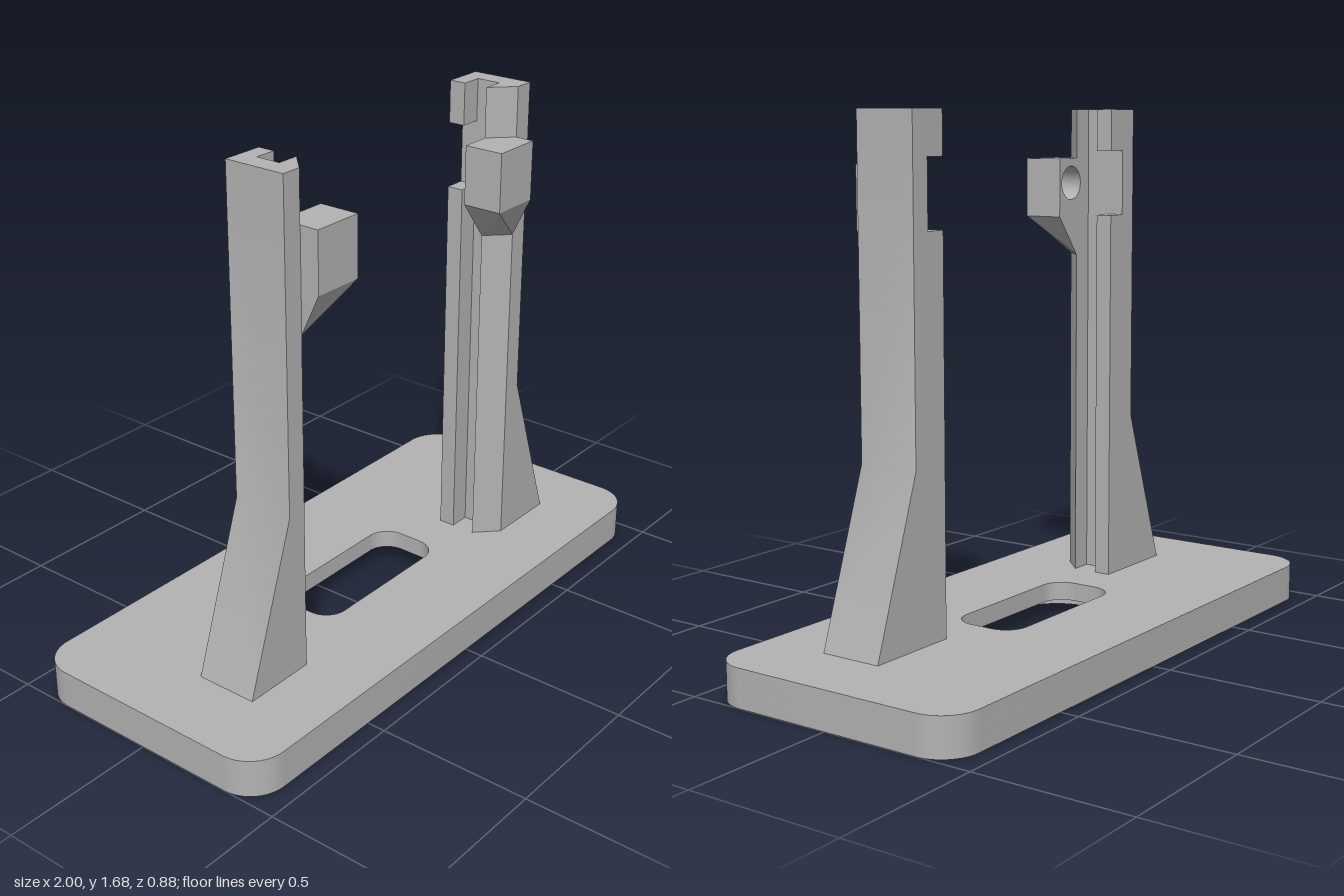
import * as THREE from 'three';
import { toCreasedNormals } from 'three/addons/utils/BufferGeometryUtils.js';
import { ConvexGeometry } from 'three/addons/geometries/ConvexGeometry.js';

const grey = new THREE.MeshStandardMaterial({ color: 0xb3b3b3 });
grey.name = 'plain grey';

const BASE_TOP = 0.12, POST_TOP = 1.68;
const CLIP_LOW = 1.2, CLIP_MID = 1.33, CLIP_TOP = 1.52;
const X_TIP = 0.345, X_ARM = 0.445, X_WALL = 0.515, X_OUT = 0.58, X_FOOT = 0.76;
const Z_BACK = 0.01, Z_SLOT = 0.065, Z_ARM = 0.145, Z_FRONT = 0.215, Z_CLIP = 0.277;

function polygon(points) {
  return new THREE.Shape(points.map(([x, y]) => new THREE.Vector2(x, y)));
}

function roundedRect(w, h, r) {
  const s = new THREE.Shape(), x = w / 2 - r, y = h / 2 - r;
  s.absarc(x, y, r, 0, Math.PI / 2);
  s.absarc(-x, y, r, Math.PI / 2, Math.PI);
  s.absarc(-x, -y, r, Math.PI, Math.PI * 1.5);
  s.absarc(x, -y, r, Math.PI * 1.5, Math.PI * 2);
  s.closePath();
  return s;
}

// Extrude an x-y shape from z0 to z1
function alongZ(shape, z0, z1) {
  const g = new THREE.ExtrudeGeometry(shape, { depth: z1 - z0, bevelEnabled: false, curveSegments: 10 });
  return toCreasedNormals(g.translate(0, 0, z0), 0.5);
}

// Extrude a plan shape (x, -z) from y0 to y1
function alongY(shape, y0, y1) {
  const g = new THREE.ExtrudeGeometry(shape, { depth: y1 - y0, bevelEnabled: false, curveSegments: 10 });
  return toCreasedNormals(g.rotateX(-Math.PI / 2).translate(0, y0, 0), 0.5);
}

function block(x0, x1, y0, y1, z0, z1) {
  return new THREE.BoxGeometry(x1 - x0, y1 - y0, z1 - z0)
    .translate((x0 + x1) / 2, (y0 + y1) / 2, (z0 + z1) / 2);
}

// Mirror across x = 0 and restore the corner order
function mirrored(geometry) {
  const g = geometry.index ? geometry.toNonIndexed() : geometry.clone();
  for (const name of ['position', 'normal']) {
    const a = g.attributes[name];
    for (let i = 0; i < a.count; i += 3) {
      const p = [0, 2, 1].map(k => [-a.getX(i + k), a.getY(i + k), a.getZ(i + k)]);
      p.forEach((v, k) => a.setXYZ(i + k, ...v));
    }
  }
  return g;
}

function postParts() {
  // Post wall with its flared foot
  const wall = polygon([[X_WALL, BASE_TOP], [X_FOOT, BASE_TOP], [X_OUT, 0.65],
    [X_OUT, POST_TOP], [X_WALL, POST_TOP]]);

  // Front lip of the channel, chamfered
  const lip = polygon([[X_ARM, -Z_ARM], [X_WALL, -Z_FRONT], [X_WALL, -Z_ARM]]);

  // Clip body with a blind round hole in its back
  const holeX = 0.412, holeY = 1.44, holeR = 0.055, holeEnd = 0.245;
  const clip = polygon([[X_TIP, CLIP_MID], [X_WALL, CLIP_MID], [X_WALL, CLIP_TOP], [X_TIP, CLIP_TOP]]);
  const drilled = clip.clone();
  drilled.holes.push(new THREE.Path().absarc(holeX, holeY, holeR, 0, Math.PI * 2, true));

  // Tapered underside of the clip
  const taper = [[X_WALL, CLIP_LOW, Z_FRONT], [X_ARM, CLIP_LOW, Z_ARM], [X_WALL, CLIP_LOW, Z_ARM],
    [X_WALL, CLIP_MID, Z_CLIP], [X_TIP, CLIP_MID, Z_CLIP], [X_TIP, CLIP_MID, Z_ARM],
    [X_WALL, CLIP_MID, Z_ARM]].map(p => new THREE.Vector3(...p));

  return {
    postWall: alongZ(wall, Z_BACK, Z_FRONT),
    lowerBackLip: block(X_ARM, X_WALL, BASE_TOP, 1.335, Z_BACK, Z_SLOT),
    upperBackLip: block(X_ARM, X_WALL, 1.545, POST_TOP, Z_BACK, Z_SLOT),
    lowerFrontLip: alongY(lip, BASE_TOP, CLIP_LOW),
    upperFrontLip: alongY(lip, CLIP_TOP, POST_TOP),
    clipTaper: new ConvexGeometry(taper),
    clipBody: alongZ(drilled, Z_ARM, holeEnd),
    clipFront: alongZ(clip, holeEnd, Z_CLIP),
  };
}

export function createModel() {
  const model = new THREE.Group();
  model.name = 'twoPostStand';
  const add = (parent, name, geometry) => {
    const mesh = new THREE.Mesh(geometry, grey);
    mesh.name = name;
    parent.add(mesh);
  };

  // Base plate: slot on top, wider recess underneath
  const base = new THREE.Group();
  base.name = 'base';
  model.add(base);
  const layer = hole => {
    const s = roundedRect(2, 0.88, 0.12);
    s.holes.push(hole);
    return s;
  };
  add(base, 'baseLower', alongY(layer(roundedRect(0.85, 0.51, 0.16)), 0, 0.06));
  add(base, 'baseUpper', alongY(layer(roundedRect(0.57, 0.23, 0.075)), 0.06, BASE_TOP));

  // Two mirrored posts with clips
  const parts = postParts();
  for (const side of ['left', 'right']) {
    const post = new THREE.Group();
    post.name = side + 'Post';
    for (const [name, g] of Object.entries(parts)) {
      add(post, name, side === 'left' ? g : mirrored(g));
    }
    model.add(post);
  }
  return model;
}
